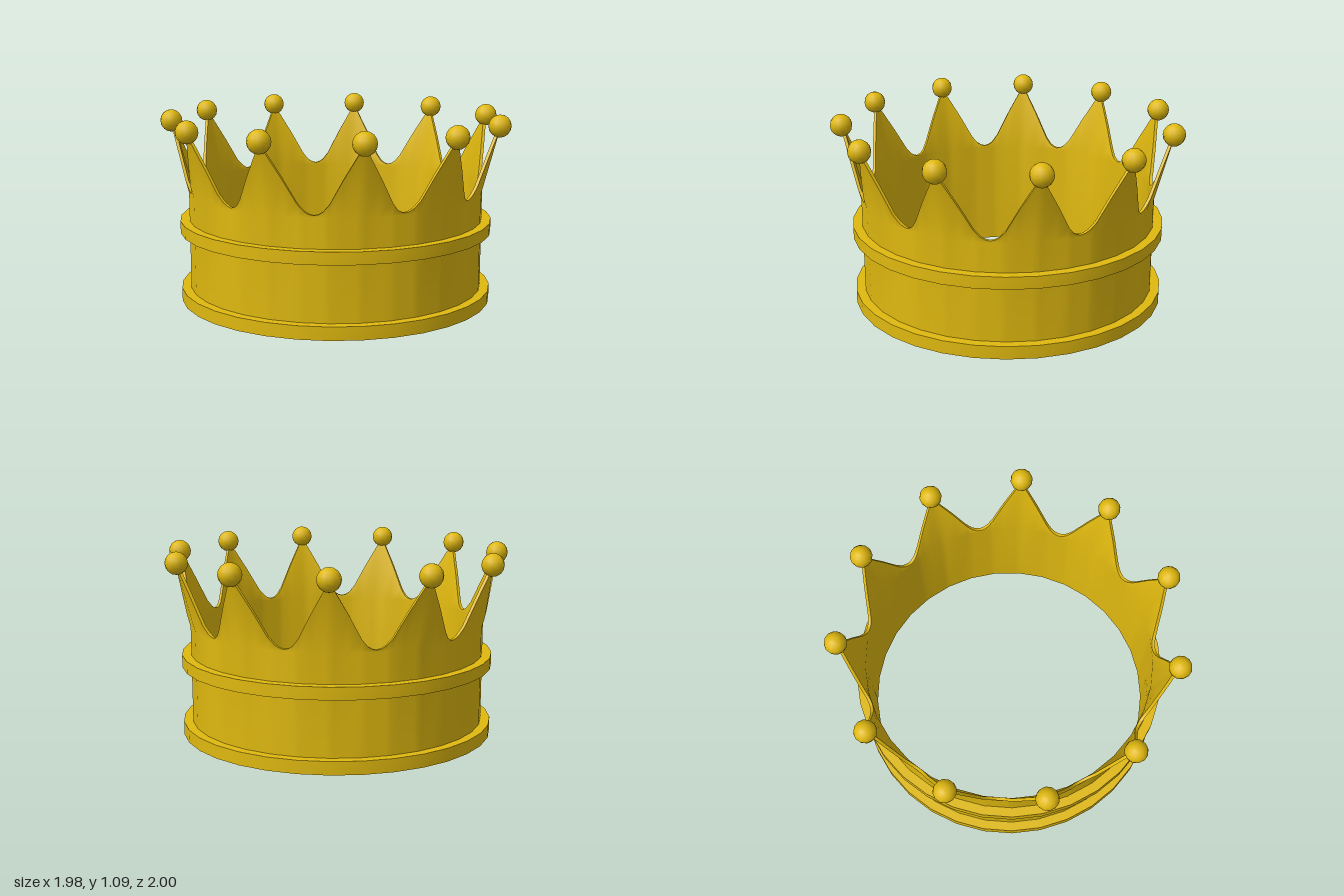
import * as THREE from 'three';
import { mergeGeometries } from 'three/addons/utils/BufferGeometryUtils.js';

const POINTS = 11, SIDES = 33;
const STEP = (Math.PI * 2) / POINTS;
const OUTER = 0.85, INNER = 0.832, BAND = 0.903;
const LEAN_Y = 0.635, LEAN = 0.26;

// Half outline of one point: [fraction of the half spacing, height]
const OUTLINE = [[0, 0.99], [0.1, 0.97], [0.38, 0.84], [0.667, 0.705], [0.8, 0.666], [0.9, 0.651], [1, 0.645]];

// Position on the 33-sided ring
function ringPoint(angle, radius, y) {
  const side = (Math.PI * 2) / SIDES;
  const local = (((angle - Math.PI) % side) + side) % side - side / 2;
  const r = radius * Math.cos(side / 2) / Math.cos(local);
  return [Math.cos(angle) * r, y, Math.sin(angle) * r];
}

// Closed strip joining loops of points, smooth within itself
function strip(loops) {
  const n = loops[0].length, index = [];
  for (let i = 0; i < loops.length - 1; i++) {
    for (let j = 0; j < n; j++) {
      const k = (j + 1) % n;
      const a = i * n + j, b = i * n + k, c = a + n, d = b + n;
      index.push(a, c, b, c, d, b);
    }
  }
  const geometry = new THREE.BufferGeometry();
  geometry.setAttribute('position', new THREE.Float32BufferAttribute(loops.flat(2), 3));
  geometry.setIndex(index);
  geometry.computeVertexNormals();
  return geometry;
}

// Wall whose upper edge rises into outward-leaning points
function wallGeometry() {
  const columns = [];
  for (let p = 0; p < POINTS; p++) {
    const centre = Math.PI + p * STEP;
    for (let i = OUTLINE.length - 2; i > 0; i--) {
      columns.push([centre - OUTLINE[i][0] * STEP / 2, OUTLINE[i][1]]);
    }
    for (const [t, y] of OUTLINE) columns.push([centre + t * STEP / 2, y]);
  }
  const flat = (r, y) => columns.map(([a]) => ringPoint(a, r, y));
  const top = (r) => columns.map(([a, y]) => ringPoint(a, r + (y - LEAN_Y) * LEAN, y));
  return mergeGeometries([
    strip([flat(OUTER, 0.01), flat(OUTER, LEAN_Y), top(OUTER)]),
    strip([top(OUTER), top(INNER)]),
    strip([top(INNER), flat(INNER, LEAN_Y), flat(INNER, 0)]),
  ]);
}

// Raised band with crisp edges
function bandGeometry(y0, y1) {
  const loop = (r, y) => Array.from({ length: SIDES }, (_, i) =>
    ringPoint(Math.PI + ((i + 0.0001) / SIDES) * Math.PI * 2, r, y));
  const corners = [[INNER, y0], [BAND, y0], [BAND, y1], [OUTER - 0.005, y1]];
  return mergeGeometries([0, 1, 2].map((i) =>
    strip([loop(...corners[i]), loop(...corners[i + 1])])));
}

export function createModel() {
  const gold = new THREE.MeshStandardMaterial({ color: 0xdfb80f });
  gold.name = 'gold';
  const model = new THREE.Group();
  model.name = 'crown';
  const crown = new THREE.Group();
  crown.name = 'crownParts';
  crown.position.set(0.012, 0, -0.006);
  model.add(crown);

  const add = (geometry, name) => {
    const mesh = new THREE.Mesh(geometry, gold);
    mesh.name = name;
    crown.add(mesh);
    return mesh;
  };

  add(wallGeometry(), 'pointedWall');
  add(bandGeometry(0, 0.075), 'baseBand');
  add(bandGeometry(0.4, 0.47), 'upperBand');

  // Ball on the tip of every point
  const ball = new THREE.SphereGeometry(0.064, 12, 8);
  for (let p = 0; p < POINTS; p++) {
    const a = Math.PI + p * STEP;
    add(ball, 'tipBall' + (p + 1)).position.set(Math.cos(a) * 0.946, 1.027, Math.sin(a) * 0.946);
  }
  return model;
}
